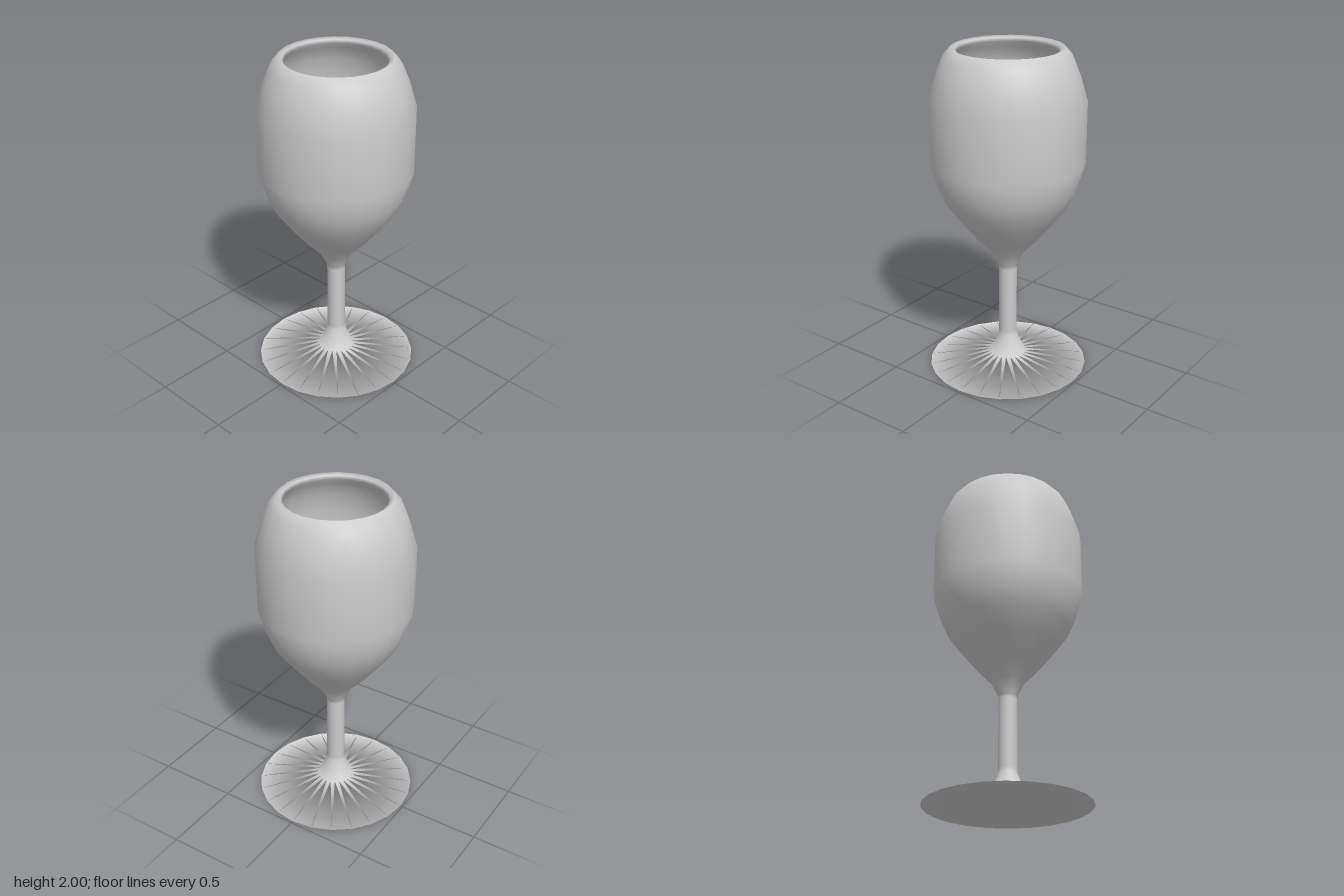
import * as THREE from 'three';

const SIDES = 24;
const material = new THREE.MeshStandardMaterial({ color: 0xcccccc });

// Turn a profile of [radius, height] points around the y axis
function turned(name, profile) {
  const points = profile.map(([r, y]) => new THREE.Vector2(r, y));
  const mesh = new THREE.Mesh(new THREE.LatheGeometry(points, SIDES), material);
  mesh.name = name;
  return mesh;
}

export function createModel() {
  const glass = new THREE.Group();
  glass.name = 'wineGlass';

  // Flat-bottomed foot flaring up into the stem
  glass.add(turned('foot', [
    [0, 0], [0.487, 0.003], [0.105, 0.065], [0.055, 0.195], [0.055, 0.22],
  ]));

  glass.add(turned('stem', [[0.055, 0.22], [0.055, 0.64]]));

  // Outer wall up to the rim, then the inner wall back down
  glass.add(turned('bowl', [
    [0.055, 0.64], [0.055, 0.66], [0.1, 0.75], [0.19, 0.845], [0.29, 0.97],
    [0.375, 1.085], [0.415, 1.18], [0.457, 1.325], [0.457, 1.7], [0.41, 1.855],
    [0.37, 1.95], [0.325, 2],
    [0.3, 1.99], [0.29, 1.97], [0.335, 1.93], [0.375, 1.845], [0.42, 1.69],
    [0.42, 1.335], [0.38, 1.2], [0.34, 1.105], [0.26, 0.995], [0.165, 0.875],
    [0.06, 0.77],
  ]));

  // Small flat floor inside the bowl
  const floor = new THREE.Mesh(new THREE.CircleGeometry(0.06, SIDES), material);
  floor.name = 'bowlFloor';
  floor.rotation.x = -Math.PI / 2;
  floor.position.y = 0.77;
  glass.add(floor);

  return glass;
}
